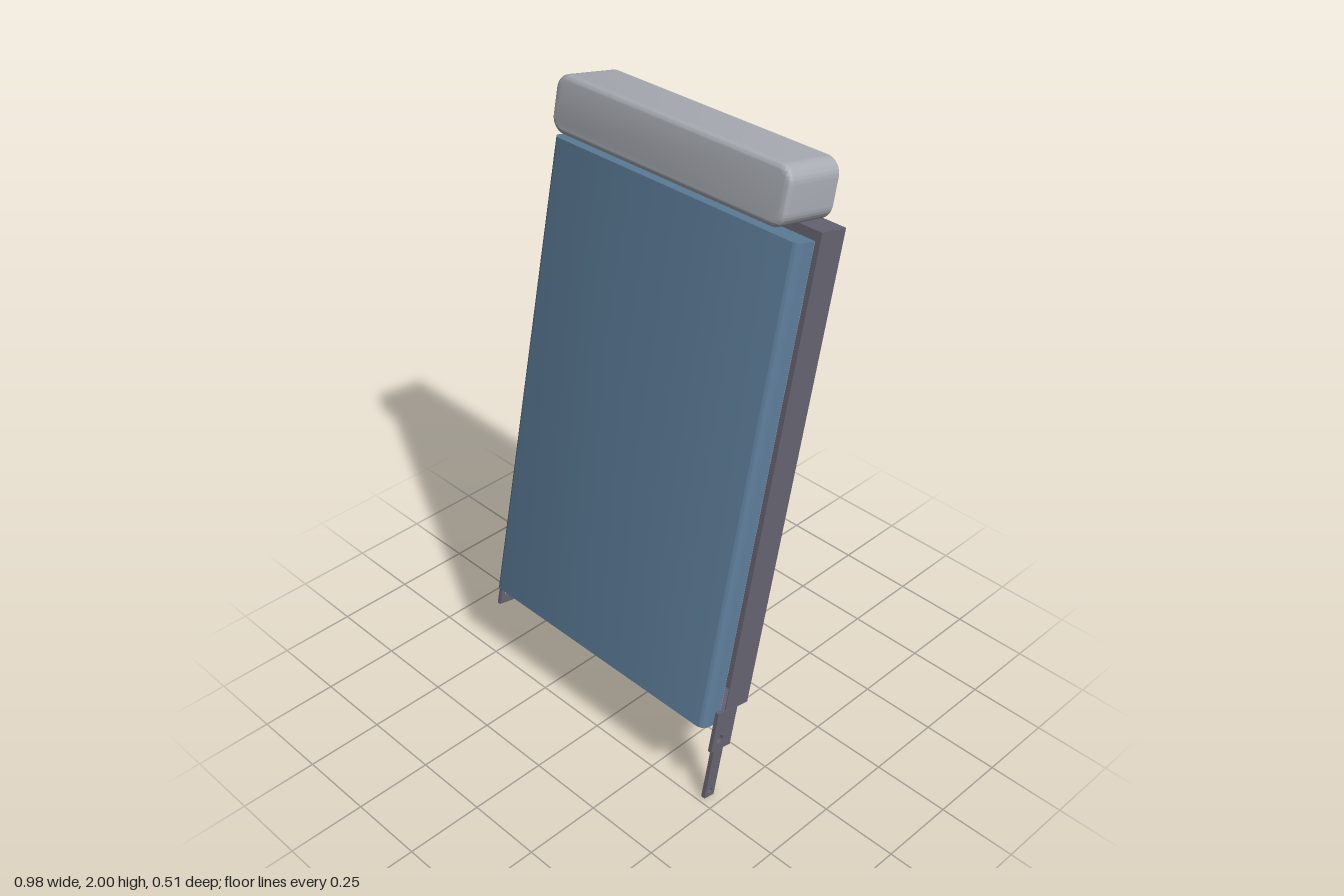
import * as THREE from 'three';
import { toCreasedNormals } from 'three/addons/utils/BufferGeometryUtils.js';

const material = (name, color, side = THREE.FrontSide) => {
  const m = new THREE.MeshStandardMaterial({ color, side });
  m.name = name;
  return m;
};

export function createModel() {
  const blue = material('blue upholstery', 0x5d7d99);
  const grey = material('light grey padding', 0xa9adb4);
  const metal = material('dark grey metal', 0x666471);

  // Everything is built upright, then leaned back as one piece
  const model = new THREE.Group();
  model.name = 'seatBack';
  const lean = new THREE.Group();
  lean.name = 'leaningBack';
  lean.rotation.x = -0.2085;
  model.add(lean);

  const add = (name, geometry, mat, x = 0, y = 0, z = 0) => {
    const mesh = new THREE.Mesh(geometry, mat);
    mesh.name = name;
    mesh.position.set(x, y, z);
    lean.add(mesh);
    return mesh;
  };
  // Box given by its lower and upper corners
  const box = (name, mat, x0, x1, y0, y1, z0, z1) =>
    add(name, new THREE.BoxGeometry(x1 - x0, y1 - y0, z1 - z0), mat,
      (x0 + x1) / 2, (y0 + y1) / 2, (z0 + z1) / 2);
  const roundedRect = (w, h, r) => {
    const s = new THREE.Shape();
    s.absarc(w - r, h - r, r, 0, Math.PI / 2);
    s.absarc(r - w, h - r, r, Math.PI / 2, Math.PI);
    s.absarc(r - w, r - h, r, Math.PI, Math.PI * 1.5);
    s.absarc(w - r, r - h, r, Math.PI * 1.5, Math.PI * 2);
    s.closePath();
    return s;
  };

  // Shallow tray, open to the front
  const W = 0.486, bottom = 0.298, top = 1.801, back = 0.148, front = 0.247, t = 0.003;
  box('trayBack', metal, -W, W, bottom, top, back, back + t);
  box('trayTop', metal, -W, W, top - t, top, back, front);
  box('trayBottom', metal, -W, W, bottom, bottom + t, back, front);
  for (const s of [-1, 1]) {
    const x = s * (W - t / 2);
    box(s > 0 ? 'trayLeftWall' : 'trayRightWall', metal, x - t / 2, x + t / 2, bottom, top, back, front);
  }

  // Cushion: a slab with rounded front edges
  const c = 0.469, r = 0.028, cBack = 0.248, cFront = 0.316;
  const profile = new THREE.Shape();
  profile.moveTo(c, -cBack);
  profile.lineTo(-c, -cBack);
  profile.absarc(r - c, r - cFront, r, Math.PI, Math.PI * 1.5);
  profile.absarc(c - r, r - cFront, r, Math.PI * 1.5, Math.PI * 2);
  profile.closePath();
  const cushion = new THREE.ExtrudeGeometry(profile, { depth: 1.522, bevelEnabled: false, curveSegments: 8 });
  cushion.rotateX(-Math.PI / 2);
  add('cushion', toCreasedNormals(cushion, 0.6), blue, 0, 0.251, 0);
  box('cushionBacking', grey, -c, c, 0.252, 1.772, cBack - 0.001, cBack);

  // Headrest: rounded block with a softened front edge
  const hw = 0.442, hh = 0.086, hr = 0.048, soft = 0.018;
  const block = new THREE.ExtrudeGeometry(roundedRect(hw, hh, hr),
    { depth: 0.176, bevelEnabled: false, curveSegments: 8 });
  add('headrest', toCreasedNormals(block, 0.6), grey, 0, 1.887, 0.164);
  const edge = new THREE.ExtrudeGeometry(roundedRect(hw, hh, hr), {
    depth: 0.001, bevelThickness: soft, bevelSize: soft, bevelOffset: -soft, bevelSegments: 5, curveSegments: 8 });
  add('headrestFront', toCreasedNormals(edge, 0.6), grey, 0, 1.887, 0.339);

  // Flat plate with a bolt hole, lying in the side plane (shape x runs backwards)
  const plate = (name, x, thick, z0, z1, y0, y1, hz, hy, hrad) => {
    const s = new THREE.Shape();
    s.moveTo(-z1, y0);
    s.lineTo(-z0, y0);
    s.lineTo(-z0, y1);
    s.lineTo(-z1, y1);
    s.closePath();
    const hole = new THREE.Path();
    hole.absarc(-hz, hy, hrad, 0, Math.PI * 2, true);
    s.holes.push(hole);
    const g = new THREE.ExtrudeGeometry(s, { depth: thick, bevelEnabled: false, curveSegments: 16 });
    g.rotateY(Math.PI / 2);
    add(name, g, metal, x, 0, 0);
  };
  // Hinge tabs on both sides, lower strut on the left only
  plate('leftHingeTab', 0.475, 0.0125, 0.194, 0.278, 0.163, 0.304, 0.25, 0.202, 0.014);
  plate('rightHingeTab', -0.4875, 0.0125, 0.194, 0.278, 0.163, 0.304, 0.25, 0.202, 0.014);
  plate('leftStrut', 0.452, 0.014, 0.194, 0.235, -0.04, 0.298, 0.215, -0.019, 0.01);

  return model;
}
